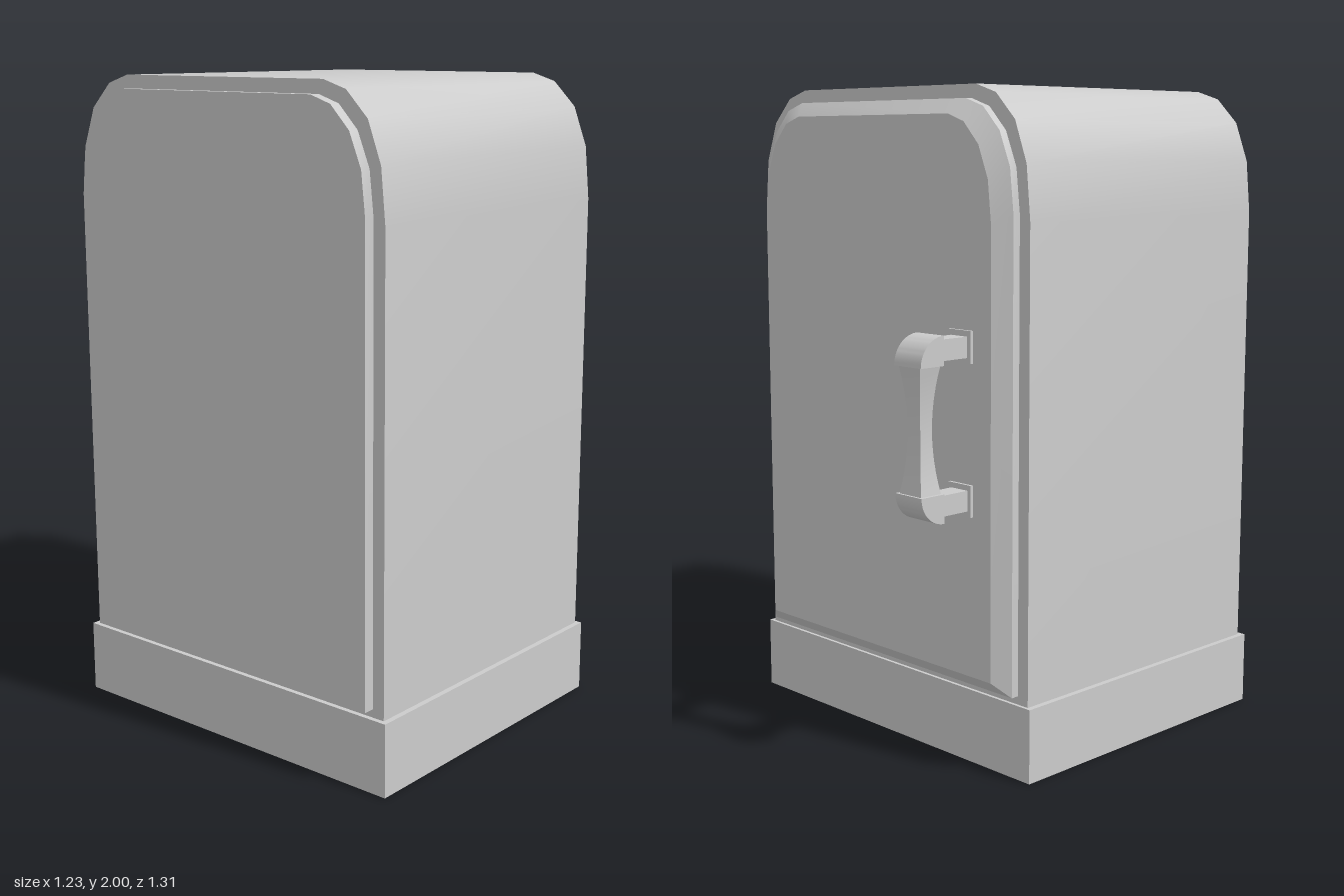
import * as THREE from 'three';
import { toCreasedNormals } from 'three/addons/utils/BufferGeometryUtils.js';

const material = new THREE.MeshStandardMaterial({ color: 0xcccccc });

function addMesh(parent, name, geometry, x = 0, y = 0, z = 0) {
  const mesh = new THREE.Mesh(geometry, material);
  mesh.name = name;
  mesh.position.set(x, y, z);
  parent.add(mesh);
  return mesh;
}

// Box given by its limits on each axis
function addBox(parent, name, [x0, x1], [y0, y1], [z0, z1]) {
  return addMesh(parent, name, new THREE.BoxGeometry(x1 - x0, y1 - y0, z1 - z0),
    (x0 + x1) / 2, (y0 + y1) / 2, (z0 + z1) / 2);
}

// Upright slab outline with faceted round top corners; corner runs up the +x side
function slabShape(bottom, corner) {
  const right = [[corner[0][0], bottom], ...corner];
  const left = right.map(([x, y]) => [-x, y]).reverse();
  return new THREE.Shape([...right, ...left].map(([x, y]) => new THREE.Vector2(x, y)));
}

function slab(shape, z0, z1) {
  const geometry = new THREE.ExtrudeGeometry(shape, { depth: z1 - z0, bevelEnabled: false });
  return geometry.translate(0, 0, z0);
}

const smooth = (geometry) => toCreasedNormals(geometry, 0.6);

export function createModel() {
  const model = new THREE.Group();
  model.name = 'cabinet';

  const outer = slabShape(0.225, [[0.6, 1.62], [0.585, 1.78], [0.54, 1.9], [0.465, 1.975], [0.385, 2]]);
  const inner = slabShape(0.25, [[0.56, 1.64], [0.546, 1.77], [0.505, 1.87], [0.44, 1.937], [0.37, 1.96]]);

  // Plinth, body and plain panel
  addBox(model, 'base', [-0.617, 0.617], [0, 0.225], [-0.395, 0.635]);
  addMesh(model, 'body', smooth(slab(outer, -0.385, 0.62)));
  addMesh(model, 'frontPanel', smooth(slab(inner, 0.62, 0.655)));

  // Door: straight rim, then a chamfer towards the outer face
  addMesh(model, 'doorRim', smooth(slab(inner, -0.41, -0.385)));
  const face = slab(inner, -0.45, -0.41);
  const p = face.attributes.position;
  const middle = 1.105;
  for (let i = 0; i < p.count; i++) {
    if (p.getZ(i) > -0.43) continue;
    p.setX(i, p.getX(i) * 0.915);
    p.setY(i, middle + (p.getY(i) - middle) * 0.95);
  }
  addMesh(model, 'doorFace', smooth(face));

  // Handle, built around its own centre and mirrored top to bottom
  const handle = new THREE.Group();
  handle.name = 'handle';
  handle.position.set(-0.393, 1.0425, 0);
  model.add(handle);

  const span = (a, b, side) => (side > 0 ? [a, b] : [-b, -a]);
  for (const side of [1, -1]) {
    const end = side > 0 ? 'upper' : 'lower';
    addBox(handle, end + 'MountPlate', [-0.047, 0.047], span(0.176, 0.27, side), [-0.459, -0.449]);
    addBox(handle, end + 'Post', [-0.033, 0.033], span(0.192, 0.253, side), [-0.575, -0.455]);

    // Quarter-round elbow; shape x runs away from the door
    const elbow = new THREE.Shape();
    elbow.moveTo(0, 0);
    elbow.lineTo(0.087, 0);
    elbow.absellipse(0, 0, 0.087, 0.085, 0, Math.PI / 2, false);
    elbow.lineTo(0, 0);
    const geometry = new THREE.ExtrudeGeometry(elbow, { depth: 0.11, bevelEnabled: false, curveSegments: 8 });
    geometry.translate(0, 0, -0.055).rotateY(Math.PI / 2);
    if (side < 0) geometry.rotateZ(Math.PI);
    addMesh(handle, end + 'Elbow', smooth(geometry), 0, side * 0.182, -0.569);
  }

  // Grip narrowing to a waist
  const grip = new THREE.BoxGeometry(0.09, 0.366, 0.076, 1, 12, 1);
  const g = grip.attributes.position;
  for (let i = 0; i < g.count; i++) {
    const t = Math.abs(g.getY(i)) / 0.183;
    const scale = 0.58 + 0.42 * t * t;
    g.setX(i, g.getX(i) * scale);
    g.setZ(i, g.getZ(i) * scale);
  }
  addMesh(handle, 'grip', smooth(grip), 0, 0, -0.611);

  return model;
}
